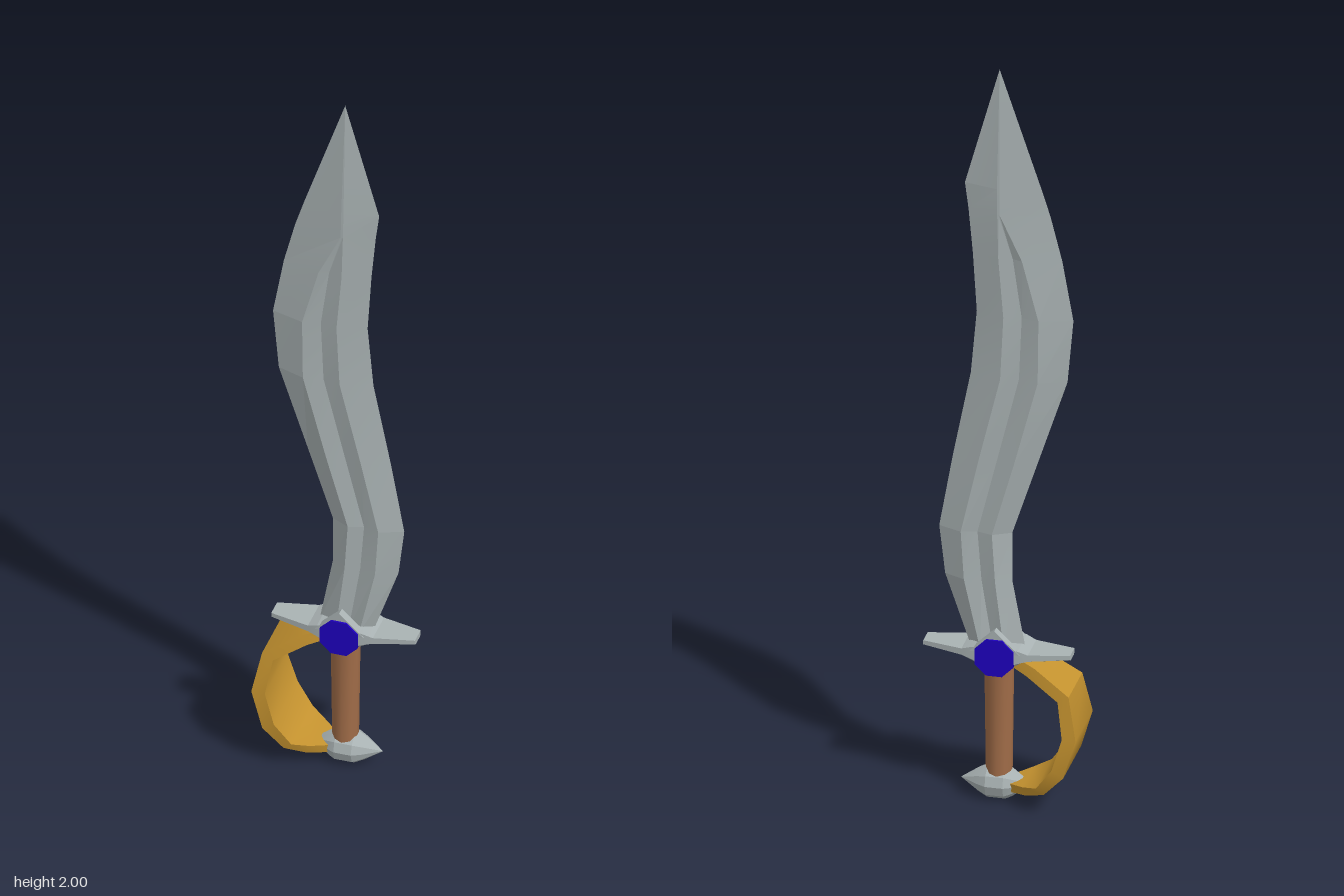
import * as THREE from 'three';
import { toCreasedNormals } from 'three/addons/utils/BufferGeometryUtils.js';

const mat = (name, color) => {
  const m = new THREE.MeshStandardMaterial({ color });
  m.name = name;
  return m;
};

// Skin a list of equal-length rings (counter-clockwise about the travel direction), with end caps
function loft(rings, crease) {
  const n = rings[0].length, last = (rings.length - 1) * n, index = [];
  for (let i = 0; i < rings.length - 1; i++) {
    for (let j = 0; j < n; j++) {
      const a = i * n + j, b = i * n + (j + 1) % n;
      index.push(a, b, b + n, a, b + n, a + n);
    }
  }
  for (let j = 1; j < n - 1; j++) {
    index.push(0, j + 1, j, last, last + j, last + j + 1);
  }
  const g = new THREE.BufferGeometry();
  g.setAttribute('position', new THREE.Float32BufferAttribute(rings.flat(2), 3));
  g.setIndex(index);
  return toCreasedNormals(g, crease);
}

export function createModel() {
  const group = new THREE.Group();
  group.name = 'curvedSword';
  const steel = mat('steel', 0xa9b2b3);
  const gold = mat('gold', 0xc4922f);
  const leather = mat('brown grip', 0xa06c48);
  const blue = mat('blue gem', 0x1e00c0);
  const add = (name, geometry, material) => {
    const mesh = new THREE.Mesh(geometry, material);
    mesh.name = name;
    group.add(mesh);
    return mesh;
  };

  // Blade rows: y, left edge, left ridge, groove, right ridge, right edge, ridge z, groove z
  const bladeRows = [
    [0.41, -0.055, -0.005, 0.025, 0.055, 0.085, 0.024, 0.013],
    [0.60, -0.02, 0.018, 0.055, 0.097, 0.15, 0.024, 0.013],
    [0.73, -0.02, 0.026, 0.065, 0.105, 0.165, 0.024, 0.013],
    [0.93, -0.085, -0.03, 0.016, 0.06, 0.13, 0.024, 0.013],
    [1.16, -0.16, -0.09, -0.04, 0.005, 0.085, 0.024, 0.013],
    [1.33, -0.175, -0.092, -0.047, -0.003, 0.07, 0.024, 0.013],
    [1.49, -0.147, -0.05, -0.025, 0.01, 0.08, 0.023, 0.015],
    [1.61, -0.117, 0.007, 0.01, 0.013, 0.091, 0.022, 0.022],
    [1.68, -0.095, 0.008, 0.011, 0.014, 0.1, 0.02, 0.02],
    [2.0, 0.012, 0.012, 0.012, 0.012, 0.012, 0, 0],
  ];
  add('blade', loft(bladeRows.map(([y, a, l, m, r, b, zr, zg]) => [
    [a, y, 0], [l, y, zr], [m, y, zg], [r, y, zr],
    [b, y, 0], [r, y, -zr], [m, y, -zg], [l, y, -zr],
  ]), 0.08), steel);

  // Crossguard rows: x, bottom y, top y, half depth
  const guardRows = [
    [-0.172, 0.405, 0.42, 0.023],
    [-0.07, 0.397, 0.42, 0.045],
    [-0.045, 0.385, 0.43, 0.05],
    [0.013, 0.35, 0.44, 0.055],
    [0.071, 0.385, 0.43, 0.05],
    [0.098, 0.397, 0.42, 0.045],
    [0.2, 0.405, 0.42, 0.023],
  ];
  add('crossguard', loft(guardRows.map(([x, b, t, z]) => {
    const m = b + (t - b) * 0.25;
    return [[x, t, z], [x, m, z], [x, b, z * 0.7], [x, b, -z * 0.7], [x, m, -z], [x, t, -z]];
  }), 0.2), steel);

  // Raised points either side of the blade, with a gem on each face
  const peak = new THREE.Shape([[-0.05, 0.42], [0.076, 0.42], [0.013, 0.48]]
    .map(([x, y]) => new THREE.Vector2(x, y)));
  const peakGeo = new THREE.ExtrudeGeometry(peak, { depth: 0.022, bevelEnabled: false });
  const gemGeo = new THREE.CylinderGeometry(0.053, 0.053, 0.009, 8)
    .rotateY(Math.PI / 8).rotateX(Math.PI / 2);
  for (const [side, s] of [['front', 1], ['back', -1]]) {
    add(side + 'GuardPeak', peakGeo, steel).position.z = s > 0 ? 0.03 : -0.052;
    add(side + 'Gem', gemGeo, blue).position.set(0.013, 0.408, s * 0.053);
  }

  // Grip
  add('grip', toCreasedNormals(new THREE.CylinderGeometry(0.037, 0.033, 0.32, 10), 0.7), leather)
    .position.set(0.013, 0.22, 0);

  // Knuckle guard rows: outer x, outer y, inner x, inner y, half width
  const knuckleRows = [
    [-0.03, 0.41, -0.02, 0.385, 0.035],
    [-0.09, 0.39, -0.07, 0.367, 0.055],
    [-0.18, 0.33, -0.152, 0.313, 0.072],
    [-0.202, 0.22, -0.167, 0.22, 0.09],
    [-0.172, 0.118, -0.142, 0.135, 0.095],
    [-0.12, 0.062, -0.1, 0.077, 0.085],
    [-0.07, 0.042, -0.06, 0.064, 0.06],
    [-0.025, 0.032, -0.02, 0.055, 0.03],
  ];
  add('knuckleGuard', loft(knuckleRows.map(([ox, oy, ix, iy, w]) => [
    [ix, iy, w], [ox, oy, w], [ox, oy, -w], [ix, iy, -w],
  ]), 0.7), gold);

  // Pommel, turned about a sideways axis
  const pommel = [[0, -0.06], [0.012, -0.055], [0.036, -0.02], [0.043, -0.005],
    [0.043, 0.04], [0.03, 0.065], [0, 0.11]].map(([r, x]) => new THREE.Vector2(r, x));
  add('pommel', toCreasedNormals(new THREE.LatheGeometry(pommel, 10).rotateZ(-Math.PI / 2), 0.3), steel)
    .position.y = 0.045;

  return group;
}
